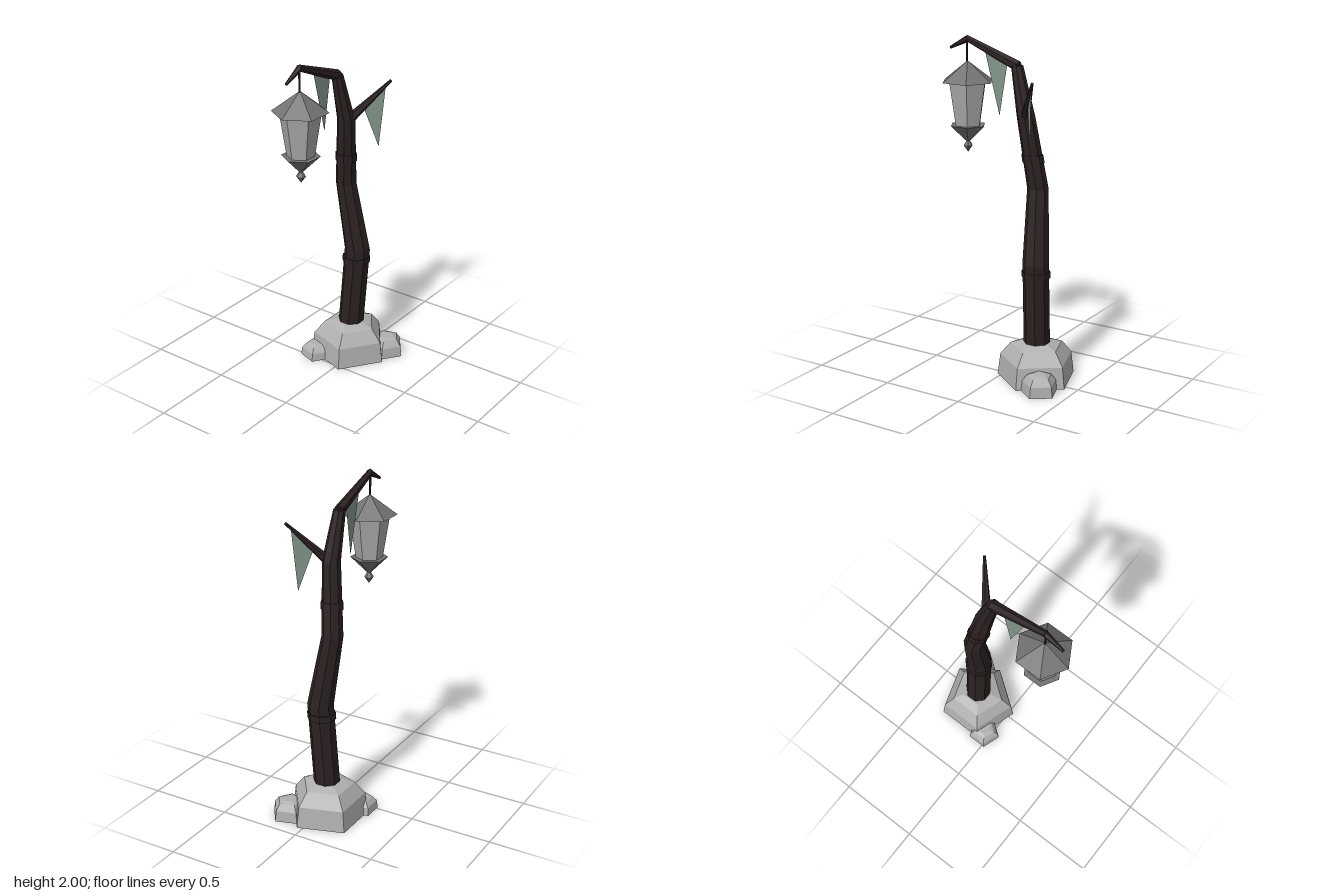
import * as THREE from 'three';

const mat = (name, color, extra = {}) =>
  Object.assign(new THREE.MeshStandardMaterial({ color, flatShading: true, ...extra }), { name });

export function createModel() {
  const model = new THREE.Group();
  model.name = 'crookedLanternPost';
  const bark = mat('darkBark', 0x2c2121);
  const stone = mat('paleStone', 0xb0b0b0);
  const metal = mat('greyMetal', 0x737373);
  const glass = mat('frostedGlass', 0xaaaaaa);
  const moss = mat('paleMoss', 0x82958a, { side: THREE.DoubleSide });

  const add = (name, geometry, material, parent = model) => {
    const mesh = new THREE.Mesh(geometry, material);
    mesh.name = name;
    parent.add(mesh);
    return mesh;
  };

  // Closed prism through horizontal rings [x, y, z, radius], listed bottom to top
  const loft = (rings, sides, turn = 0) => {
    const n = rings.length - 1;
    const g = new THREE.CylinderGeometry(1, 1, n, sides, n);
    g.rotateY(turn);
    const p = g.attributes.position;
    for (let i = 0; i < p.count; i++) {
      const [x, y, z, r] = rings[Math.round(p.getY(i) + n / 2)];
      p.setXYZ(i, x + p.getX(i) * r, y, z + p.getZ(i) * r);
    }
    g.computeVertexNormals();
    return g;
  };

  // Tapered stick between two points
  const stick = (name, a, b, ra, rb, sides = 6, turn = 0) => {
    const from = new THREE.Vector3(...a), dir = new THREE.Vector3(...b).sub(from);
    const g = new THREE.CylinderGeometry(rb, ra, dir.length(), sides);
    g.rotateY(turn);
    const mesh = add(name, g, bark);
    mesh.position.copy(from).addScaledVector(dir, 0.5);
    mesh.quaternion.setFromUnitVectors(new THREE.Vector3(0, 1, 0), dir.normalize());
    return mesh;
  };

  // Five-sided base stones, a corner of each pointing to +x
  const rock = (name, x, z, r, h) =>
    add(name, loft([
      [x, 0, z, r], [x, h * 0.57, z, r * 0.93],
      [x, h * 0.91, z, r * 0.67], [x, h, z, r * 0.4],
    ], 5, Math.PI / 2), stone);
  rock('mainStone', -0.04, -0.2, 0.24, 0.228);
  rock('backStone', 0.147, -0.328, 0.11, 0.115);
  rock('smallStone', -0.18, -0.043, 0.1, 0.085);

  // Crooked trunk with two raised bands
  add('trunk', loft([
    [-0.038, 0.19, -0.2, 0.078], [0, 0.72, -0.21, 0.077],
    [-0.065, 1.15, -0.183, 0.062], [-0.025, 1.57, -0.125, 0.053],
    [-0.038, 1.85, -0.058, 0.035],
  ], 8, Math.PI / 8), bark);
  add('lowerBand', loft([[-0.008, 0.635, -0.209, 0.084], [-0.006, 0.675, -0.209, 0.084]], 8, Math.PI / 8), bark);
  add('upperBand', loft([[-0.05, 1.3, -0.162, 0.064], [-0.046, 1.35, -0.155, 0.063]], 8, Math.PI / 8), bark);

  // Overhanging arm, its drooping tip and the side branch
  stick('arm', [-0.04, 1.845, -0.062], [-0.04, 1.98, 0.285], 0.032, 0.018);
  stick('armTip', [-0.04, 1.978, 0.27], [-0.04, 1.917, 0.394], 0.02, 0.008);
  stick('sideBranch', [-0.015, 1.56, -0.125], [0.172, 1.797, -0.282], 0.03, 0.008);
  stick('hangingRod', [-0.04, 1.98, 0.28], [-0.04, 1.83, 0.28], 0.006, 0.006);

  // Hexagonal lantern, corners toward front and back
  const lantern = new THREE.Group();
  lantern.name = 'lantern';
  lantern.position.set(-0.04, 0, 0.277);
  model.add(lantern);
  const hex = (name, y0, y1, r0, r1, material, sides = 6) =>
    add(name, loft([[0, y0, 0, r0], [0, y1, 0, r1]], sides), material, lantern);
  hex('lanternRoof', 1.73, 1.847, 0.16, 0.004, metal);
  hex('lanternGlass', 1.47, 1.732, 0.078, 0.118, glass);
  hex('lanternBase', 1.38, 1.475, 0.012, 0.11, metal);
  hex('finialTop', 1.352, 1.385, 0.028, 0.008, metal);
  hex('finialPoint', 1.315, 1.352, 0.001, 0.028, metal);

  // Hanging moss triangles
  const drape = (name, ...corners) => {
    const g = new THREE.BufferGeometry();
    g.setAttribute('position', new THREE.Float32BufferAttribute(corners.flat(), 3));
    g.computeVertexNormals();
    add(name, g, moss);
  };
  drape('armMoss', [-0.04, 1.925, 0.16], [-0.04, 1.87, 0.005], [-0.04, 1.55, 0.06]);
  drape('branchMoss', [0.052, 1.645, -0.182], [0.15, 1.768, -0.262], [0.122, 1.4, -0.24]);

  return model;
}
